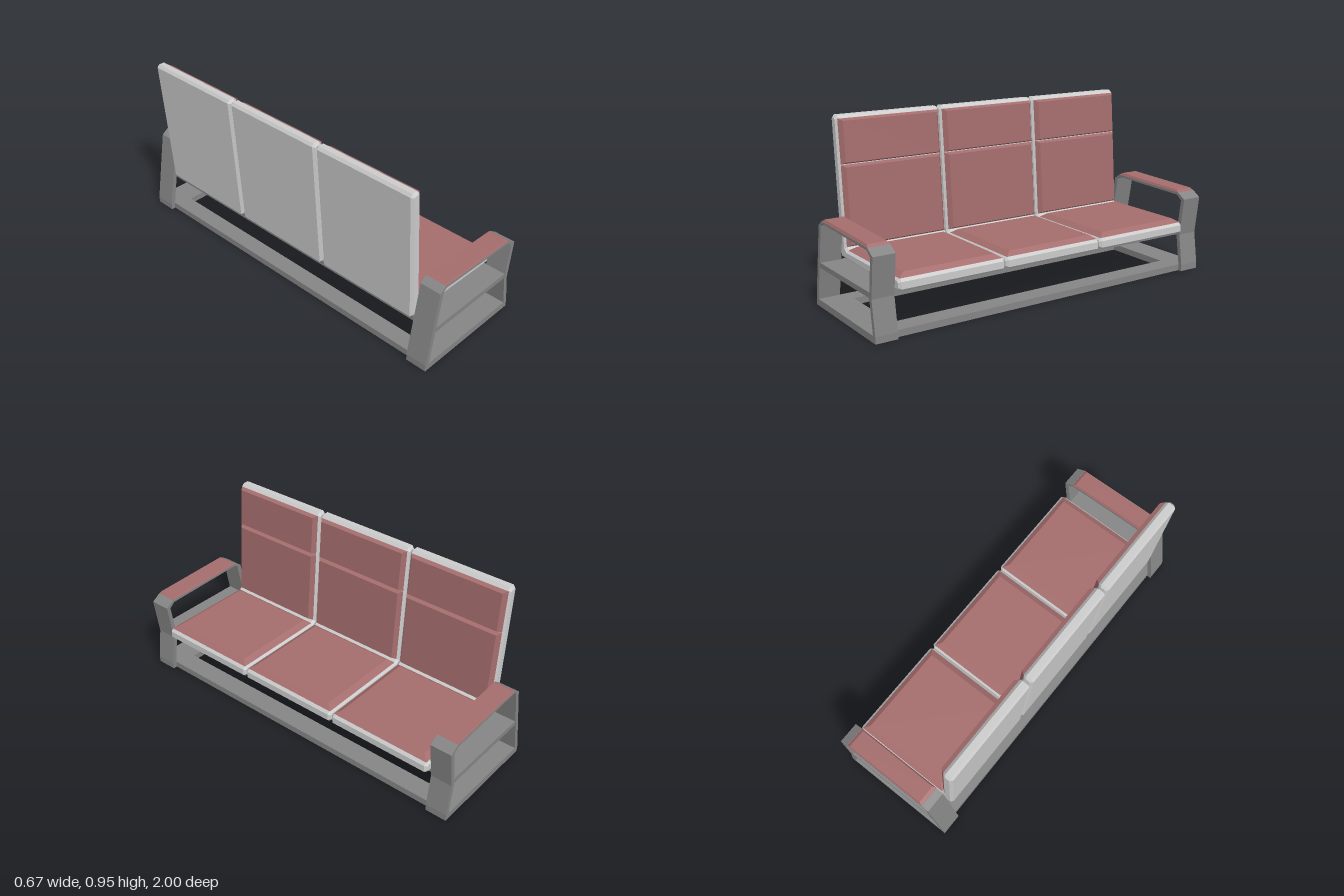
import * as THREE from 'three';

const paint = (color) => new THREE.MeshStandardMaterial({ color, flatShading: true });
const shellMat = paint(0xcccccc);
const frameMat = paint(0x858585);
const padMat = paint(0xa46c6c);

const toShape = (pts) => new THREE.Shape(pts.map(([x, y]) => new THREE.Vector2(x, y)));
const toPath = (pts) => new THREE.Path(pts.map(([x, y]) => new THREE.Vector2(x, y)));
const rect = (x0, x1, h) => [[x0, -h], [x1, -h], [x1, h], [x0, h]];

function mesh(name, geometry, material) {
  const m = new THREE.Mesh(geometry, material);
  m.name = name;
  return m;
}

// Side profile extruded along z and centred, optionally with a chamfered rim
function extrudeZ(shape, width, bevel = 0) {
  const g = new THREE.ExtrudeGeometry(shape, {
    depth: width - 2 * bevel, bevelEnabled: bevel > 0, bevelSize: bevel,
    bevelThickness: bevel, bevelOffset: -bevel, bevelSegments: 1,
  });
  return g.translate(0, 0, bevel - width / 2);
}

// Flat rectangular ring lying horizontally
function ring(outer, hole, y, height) {
  const s = toShape(outer);
  s.holes.push(toPath(hole));
  return new THREE.ExtrudeGeometry(s, { depth: height, bevelEnabled: false })
    .rotateX(-Math.PI / 2).translate(0, y, 0);
}

// Cushion with sloped rim: base and face are lines in the side profile,
// each given as [start, end]; halfBase and halfFace are its half widths
function cushion(base, face, halfBase, halfFace) {
  const g = new THREE.BoxGeometry(2, 2, 2);
  const p = g.attributes.position;
  for (let i = 0; i < p.count; i++) {
    const top = p.getY(i) > 0;
    const [x, y] = (top ? face : base)[p.getX(i) > 0 ? 1 : 0];
    p.setXYZ(i, x, y, p.getZ(i) * (top ? halfFace : halfBase));
  }
  g.computeVertexNormals();
  return g;
}

// One seat: L-shaped shell with seat cushion and two back cushions
function createSeat() {
  const seat = new THREE.Group();
  const profile = [
    [-0.285, 0.235], [0.32, 0.222], [0.335, 0.235], [0.335, 0.27], [0.32, 0.285],
    [-0.215, 0.285], [-0.229, 0.297], [-0.278, 0.935], [-0.293, 0.95],
    [-0.325, 0.95], [-0.336, 0.935],
  ];
  seat.add(
    mesh('seatShell', extrudeZ(toShape(profile), 0.58, 0.013), shellMat),
    mesh('seatCushion', cushion(
      [[-0.215, 0.284], [0.322, 0.284]], [[-0.185, 0.305], [0.295, 0.305]], 0.28, 0.248), padMat),
    mesh('headCushion', cushion(
      [[-0.28, 0.935], [-0.262, 0.71]], [[-0.256, 0.925], [-0.24, 0.72]], 0.28, 0.262), padMat),
    mesh('backCushion', cushion(
      [[-0.262, 0.707], [-0.231, 0.298]], [[-0.238, 0.697], [-0.209, 0.31]], 0.28, 0.262), padMat),
  );
  return seat;
}

// Closed side loop forming legs and arm, with a pad on top
function createSide() {
  const side = new THREE.Group();
  const loop = toShape([
    [-0.32, 0], [0.33, 0], [0.33, 0.035], [0.305, 0.205], [0.331, 0.41],
    [0.282, 0.441], [-0.213, 0.455], [-0.25, 0.43], [-0.285, 0.235], [-0.32, 0.035],
  ]);
  loop.holes.push(toPath([
    [-0.295, 0.035], [-0.264, 0.215], [-0.225, 0.431], [-0.205, 0.443],
    [0.275, 0.428], [0.307, 0.402], [0.282, 0.205], [0.307, 0.035],
  ]));
  side.add(
    mesh('legAndArmLoop', extrudeZ(loop, 0.115), frameMat),
    mesh('armPad', cushion(
      [[-0.213, 0.454], [0.282, 0.44]], [[-0.193, 0.467], [0.265, 0.453]], 0.0575, 0.05), padMat),
  );
  return side;
}

export function createModel() {
  const model = new THREE.Group();
  model.name = 'bench';

  for (const i of [-1, 0, 1]) {
    const seat = createSeat();
    seat.name = ['rightSeat', 'middleSeat', 'leftSeat'][i + 1];
    seat.position.z = i * 0.585;
    model.add(seat);
  }

  for (const s of [-1, 1]) {
    const side = createSide();
    side.name = s > 0 ? 'leftSideFrame' : 'rightSideFrame';
    side.position.z = s * 0.9425;
    model.add(side);
  }

  // Floor frame between the side loops, and the frame carrying the seats
  model.add(
    mesh('floorFrame', ring(rect(-0.297, 0.307, 0.886), rect(-0.205, 0.2, 0.85), 0, 0.035), frameMat),
    mesh('seatSupportFrame', ring(rect(-0.268, 0.286, 0.997), rect(-0.18, 0.19, 0.8), 0.205, 0.027), frameMat),
  );
  return model;
}
